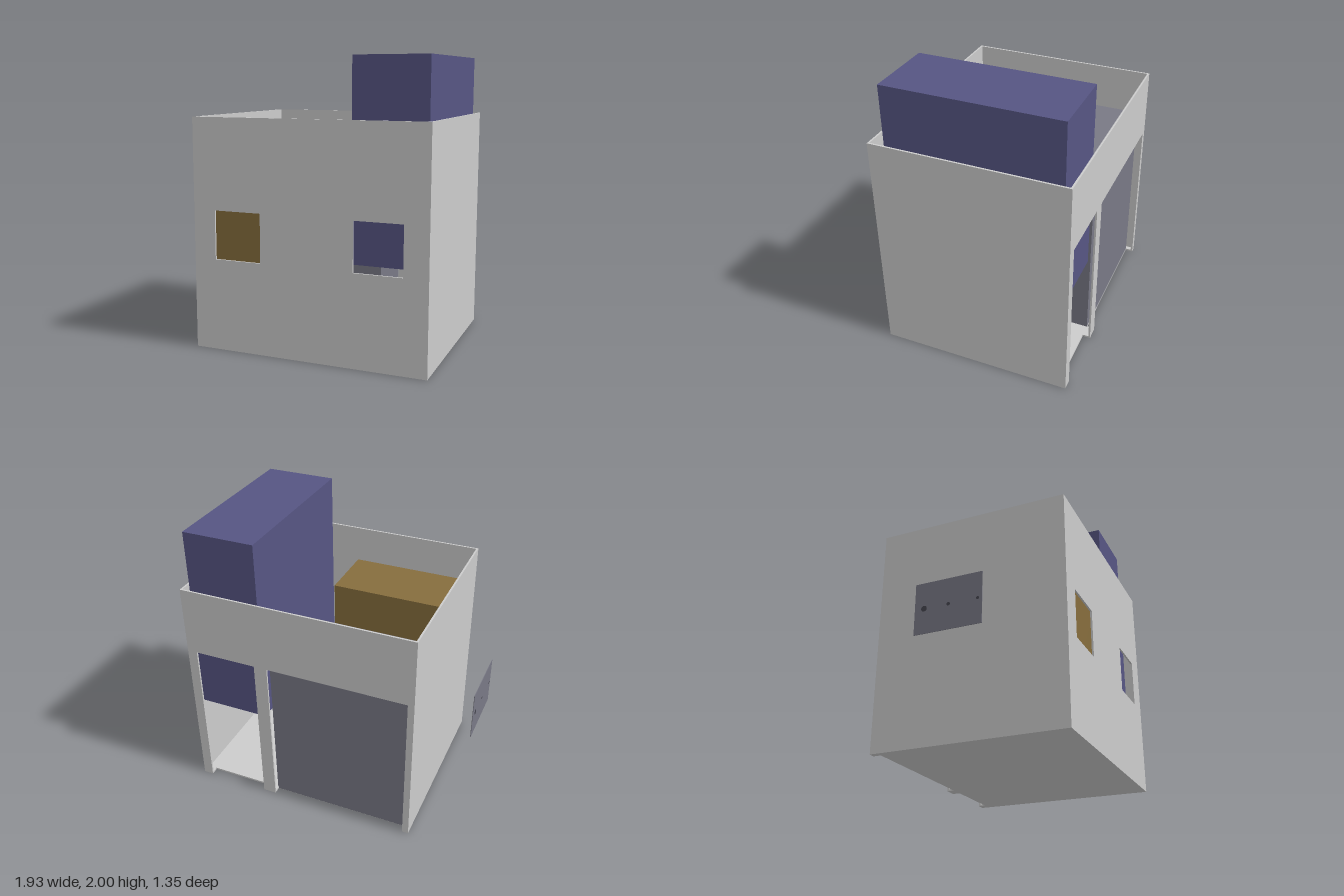
import * as THREE from 'three';

const GREY = new THREE.MeshStandardMaterial({ color: 0xcccccc });
const NAVY = new THREE.MeshStandardMaterial({ color: 0x565583 });
const BROWN = new THREE.MeshStandardMaterial({ color: 0x866d3d });
const SLATE = new THREE.MeshStandardMaterial({ color: 0x797985 });
const DARK = new THREE.MeshStandardMaterial({ color: 0x44444e });

// Outer limits of the room and its wall thickness
const X0 = -0.69, X1 = 0.965, Z = 0.675, H = 1.6, T = 0.013;
// Doorways in the back wall, as x ranges
const DOORS = [[-0.645, 0.355], [0.45, 0.895]];
const DOOR_TOP = 1.12;

// Box given by its limits along each axis
function box(name, material, [xa, xb], [ya, yb], [za, zb]) {
  const mesh = new THREE.Mesh(new THREE.BoxGeometry(xb - xa, yb - ya, zb - za), material);
  mesh.position.set((xa + xb) / 2, (ya + yb) / 2, (za + zb) / 2);
  mesh.name = name;
  return mesh;
}

// Rectangular outline with notches of the given height cut into its lower edge
function notched(xa, xb, ya, yb, notches, depth) {
  const s = new THREE.Shape();
  s.moveTo(xa, ya);
  for (const [a, b] of notches) {
    s.lineTo(a, ya);
    s.lineTo(a, depth);
    s.lineTo(b, depth);
    s.lineTo(b, ya);
  }
  s.lineTo(xb, ya);
  s.lineTo(xb, yb);
  s.lineTo(xa, yb);
  s.closePath();
  return s;
}

function slab(name, shape) {
  const geometry = new THREE.ExtrudeGeometry(shape, { depth: T, bevelEnabled: false });
  const mesh = new THREE.Mesh(geometry, GREY);
  mesh.name = name;
  return mesh;
}

export function createModel() {
  const model = new THREE.Group();
  model.name = 'room';

  // Front wall with two windows
  const front = notched(X0, X1, 0, H, [], 0);
  for (const [a, b] of [[-0.53, -0.19], [0.467, 0.8]]) {
    const hole = new THREE.Path();
    hole.moveTo(a, 0.635);
    hole.lineTo(a, 0.972);
    hole.lineTo(b, 0.972);
    hole.lineTo(b, 0.635);
    hole.closePath();
    front.holes.push(hole);
  }
  const frontWall = slab('frontWall', front);
  frontWall.position.z = Z - T;

  // Back wall with two doorways open to the ground
  const backWall = slab('backWall', notched(X0, X1, 0, H, DOORS, DOOR_TOP));
  backWall.position.z = -Z;

  // Floor, cut back behind each doorway
  const floor = slab('floor', notched(X0 + T, X1 - T, -Z + T, Z - T, DOORS, -0.62));
  floor.rotation.x = Math.PI / 2;
  floor.position.y = T;

  model.add(frontWall, backWall, floor);
  model.add(box('rightWall', GREY, [X0, X0 + T], [0, H], [-Z + T, Z - T]));
  model.add(box('leftWall', GREY, [X1 - T, X1], [0, H], [-Z + T, Z - T]));

  // Blocks inside the room
  model.add(box('tallBlock', NAVY, [0.42, 0.925], [0.665, 2], [-0.62, 0.578]));
  model.add(box('rearBlock', SLATE, [-0.65, 0.36], [0.001, 1.288], [-0.62, -0.2]));
  model.add(box('frontBlock', BROWN, [-0.65, 0.225], [0.002, 1.36], [0.165, 0.615]));
  model.add(box('smallBlock', SLATE, [0.24, 0.405], [0.002, 0.5], [0.507, 0.615]));

  // Thin plate standing off the right wall, with three small studs
  const plate = new THREE.Group();
  plate.name = 'sidePlate';
  plate.add(box('plate', SLATE, [-0.968, -0.964], [0.627, 0.98], [-0.235, 0.23]));
  for (const [z, r] of [[-0.17, 0.02], [0, 0.012], [0.2, 0.01]]) {
    const stud = new THREE.Mesh(new THREE.CylinderGeometry(r, r, 0.006, 12), DARK);
    stud.rotation.z = Math.PI / 2;
    stud.position.set(-0.966, 0.8, z);
    stud.name = 'stud';
    plate.add(stud);
  }
  model.add(plate);

  return model;
}
